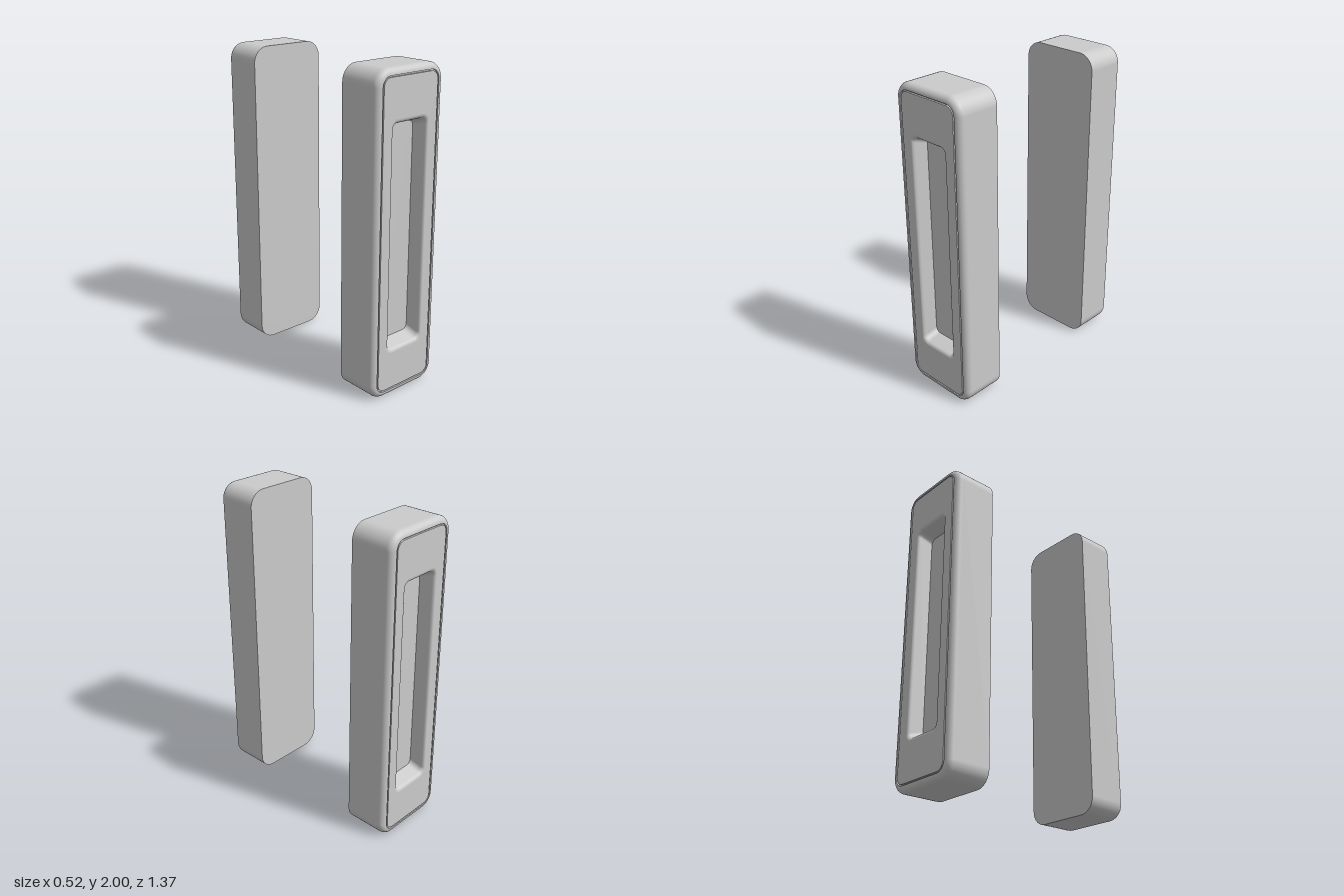
import * as THREE from 'three';

const material = new THREE.MeshStandardMaterial({ color: 0xcccccc });
const HEIGHT = 2, BACK = 0.405, FACE = 0.685;
const CORNER_STEPS = 10;

// Rounded-rectangle ring: half width, half height, corner radius, depth
function ring([hw, hh, r, z]) {
  const pts = [];
  const corners = [[1, 1], [-1, 1], [-1, -1], [1, -1]];
  corners.forEach(([sx, sy], c) => {
    for (let i = 0; i <= CORNER_STEPS; i++) {
      const a = (c + i / CORNER_STEPS) * Math.PI / 2;
      pts.push(sx * (hw - r) + r * Math.cos(a), sy * (hh - r) + r * Math.sin(a), z);
    }
  });
  return pts;
}

// Skin through rings listed from the back outline towards the middle of the face
function loft(name, rings) {
  const n = 4 * (CORNER_STEPS + 1), index = [];
  for (let k = 0; k < rings.length - 1; k++) {
    for (let i = 0; i < n; i++) {
      const a = k * n + i, b = k * n + (i + 1) % n;
      index.push(a, b, b + n, a, b + n, a + n);
    }
  }
  const geo = new THREE.BufferGeometry();
  geo.setAttribute('position', new THREE.Float32BufferAttribute(rings.flatMap(ring), 3));
  geo.setIndex(index);
  geo.computeVertexNormals();
  const mesh = new THREE.Mesh(geo, material);
  mesh.name = name;
  return mesh;
}

// Flat rounded-rectangle plate facing +z or -z
function plate(name, spec, facing) {
  const p = ring(spec), pts = [];
  for (let i = 0; i < p.length; i += 3) pts.push(new THREE.Vector2(p[i], p[i + 1]));
  const geo = new THREE.ShapeGeometry(new THREE.Shape(pts));
  if (facing < 0) geo.rotateY(Math.PI);
  geo.translate(0, 0, spec[3]);
  const mesh = new THREE.Mesh(geo, material);
  mesh.name = name;
  return mesh;
}

function createPull(name) {
  const pull = new THREE.Group();
  pull.name = name;

  // Straight sides rolling over into the front rim
  const fillet = 0.04, outline = [0.26, 1, 0.1];
  const body = [[...outline, BACK], [...outline, FACE - fillet - 0.005]];
  for (let i = 0; i <= 8; i++) {
    const a = i / 8 * Math.PI / 2, inset = fillet * (1 - Math.cos(a));
    body.push([0.26 - inset, 1 - inset, 0.1 - inset, FACE - fillet + fillet * Math.sin(a)]);
  }
  pull.add(loft('outerShell', body));
  pull.add(plate('mountingFace', [...outline, BACK], -1));

  // Fine groove between the rim and the face panel
  const rim = [0.22, 0.96, 0.06], panel = [0.211, 0.951, 0.051];
  const grooveZ = FACE - 0.012;
  pull.add(loft('grooveOuterWall', [[...rim, FACE], [...rim, grooveZ]]));
  pull.add(loft('grooveFloor', [[...rim, grooveZ], [...panel, grooveZ]]));
  pull.add(loft('grooveInnerWall', [[...panel, grooveZ], [...panel, FACE]]));

  // Flat face panel around the finger recess
  const mouth = [0.147, 0.715, 0.045];
  pull.add(loft('facePanel', [[...panel, FACE], [...mouth, FACE]]));

  // Recess walls: soft lip, then a taper that is steeper on the long sides
  const floor = [0.123, 0.663, 0.035, FACE - 0.1];
  const recess = [];
  for (let i = 0; i <= 6; i++) {
    const a = i / 6 * Math.PI / 2 * 0.85;
    recess.push([0.147 - 0.016 * Math.sin(a), 0.715 - 0.026 * Math.sin(a),
      0.045 - 0.008 * Math.sin(a), FACE - 0.025 * (1 - Math.cos(a))]);
  }
  recess.push(floor);
  pull.add(loft('recessWalls', recess));
  pull.add(plate('recessFloor', floor, 1));

  pull.position.y = HEIGHT / 2;
  return pull;
}

export function createModel() {
  const model = new THREE.Group();
  model.name = 'recessedPullPair';
  // Two matching pulls, back to back with a gap for the door
  const front = createPull('frontPull');
  const back = createPull('backPull');
  back.rotation.y = Math.PI;
  model.add(front, back);
  return model;
}
